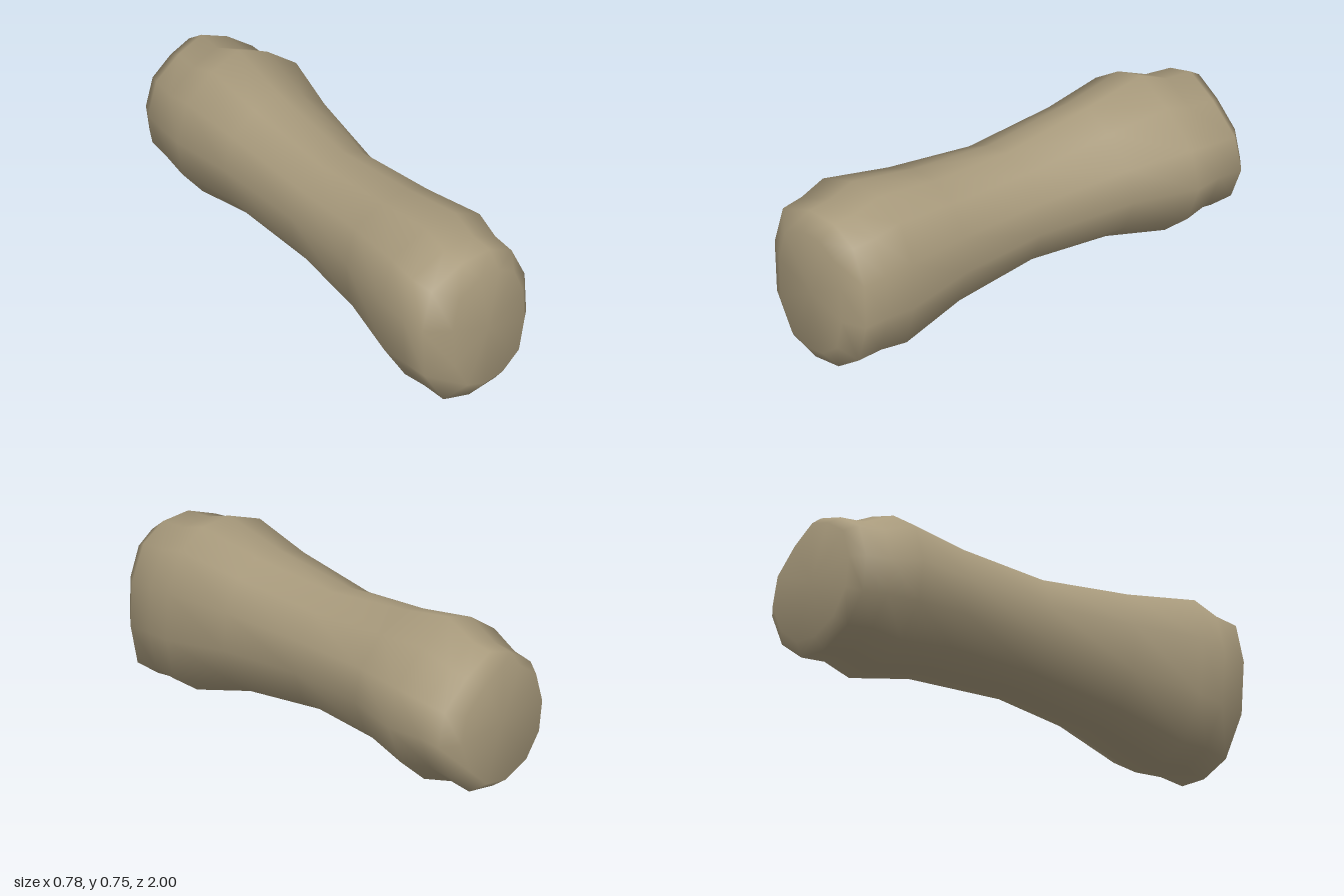
import * as THREE from 'three';

// Unit cross-sections, counter-clockwise seen from +z; the shaft blends between them
const FRONT = [[1, -0.2], [0.97, 0.36], [0.72, 0.8], [0.3, 0.98], [-0.23, 0.98], [-0.82, 0.79],
  [-1, 0.27], [-0.95, -0.4], [-0.59, -0.88], [-0.1, -1], [0.4, -0.95], [0.85, -0.7]];
const BACK = [[1, -0.1], [0.87, 0.37], [0.42, 0.75], [-0.04, 1], [-0.45, 0.87], [-0.85, 0.6],
  [-1, 0.1], [-0.92, -0.4], [-0.6, -0.8], [-0.1, -1], [0.38, -0.94], [0.79, -0.6]];

// z, left edge, right edge, bottom, top of each ring
const RINGS = [
  [1, -0.27, 0.11, 0.09, 0.63],
  [0.93, -0.375, 0.18, 0.005, 0.69],
  [0.82, -0.385, 0.19, 0.015, 0.695],
  [0.7, -0.395, 0.215, 0.004, 0.735],
  [0.4, -0.325, 0.195, 0.09, 0.685],
  [0, -0.275, 0.205, 0.135, 0.65],
  [-0.42, -0.27, 0.3, 0.12, 0.697],
  [-0.69, -0.29, 0.39, 0.06, 0.75],
  [-0.83, -0.255, 0.358, 0.09, 0.68],
  [-0.94, -0.23, 0.365, 0.08, 0.675],
  [-1, -0.19, 0.29, 0.12, 0.63],
];

function boneGeometry() {
  const n = FRONT.length, pos = [], index = [];
  for (const [z, x0, x1, y0, y1] of RINGS) {
    const t = THREE.MathUtils.smoothstep(-z, -0.7, 0.7);
    for (let j = 0; j < n; j++) {
      const u = THREE.MathUtils.lerp(FRONT[j][0], BACK[j][0], t);
      const v = THREE.MathUtils.lerp(FRONT[j][1], BACK[j][1], t);
      pos.push((x0 + x1) / 2 + u * (x1 - x0) / 2, (y0 + y1) / 2 + v * (y1 - y0) / 2, z);
    }
  }
  // Side walls
  const last = (RINGS.length - 1) * n;
  for (let r = 0; r < last; r += n) {
    for (let j = 0; j < n; j++) {
      const a = r + j, b = r + (j + 1) % n;
      index.push(a, a + n, b, b, a + n, b + n);
    }
  }
  // End caps share the rim vertices so the shading stays soft
  const centre = pos.length / 3;
  for (const [z, x0, x1, y0, y1] of [RINGS[0], RINGS[RINGS.length - 1]]) {
    pos.push((x0 + x1) / 2, (y0 + y1) / 2, z);
  }
  for (let j = 0; j < n; j++) {
    const k = (j + 1) % n;
    index.push(centre, j, k, centre + 1, last + k, last + j);
  }
  const g = new THREE.BufferGeometry();
  g.setAttribute('position', new THREE.Float32BufferAttribute(pos, 3));
  g.setIndex(index);
  g.computeVertexNormals();
  return g;
}

export function createModel() {
  const group = new THREE.Group();
  group.name = 'bone';
  const boneTan = new THREE.MeshStandardMaterial({ color: 0xa89a7c });
  boneTan.name = 'bone tan';
  const shaft = new THREE.Mesh(boneGeometry(), boneTan);
  shaft.name = 'boneShaft';
  group.add(shaft);
  return group;
}
